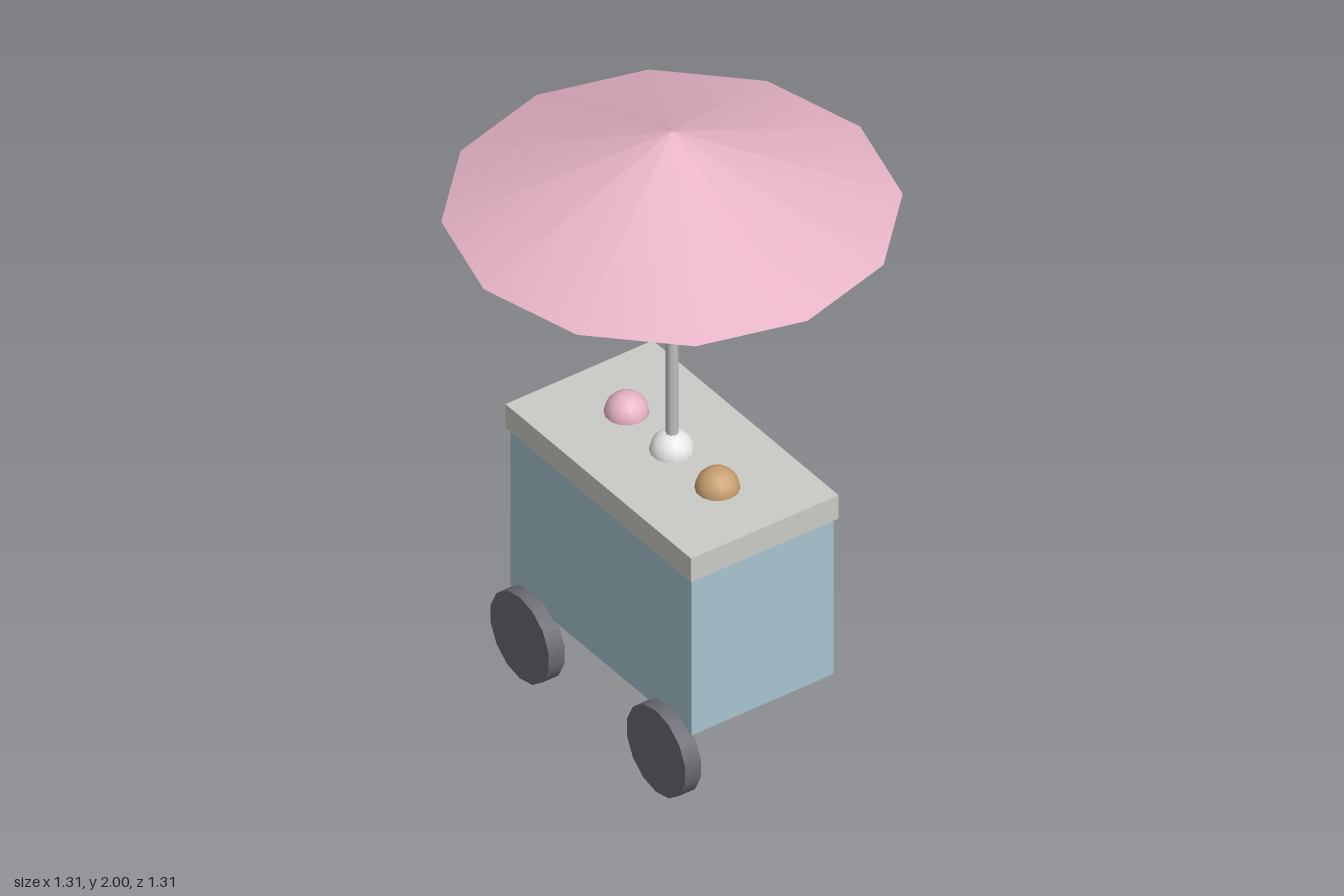
import * as THREE from 'three';

export function createModel() {
  const cart = new THREE.Group();
  cart.name = 'vendingCart';

  const mat = (name, color) => {
    const m = new THREE.MeshStandardMaterial({ color });
    m.name = name;
    return m;
  };
  const pink = mat('pink', 0xe8b4c8);
  const blue = mat('paleBlue', 0xa8c4d0);
  const grey = mat('lightGrey', 0xcacac6);
  const metal = mat('poleGrey', 0xc0c0c0);
  const dark = mat('wheelGrey', 0x6a6a72);
  const cream = mat('offWhite', 0xe8e8e8);
  const tan = mat('caramel', 0xc8a070);

  const add = (name, geometry, material, x, y, z) => {
    const mesh = new THREE.Mesh(geometry, material);
    mesh.name = name;
    mesh.position.set(x, y, z);
    cart.add(mesh);
    return mesh;
  };

  // Cabinet and overhanging counter
  add('cabinet', new THREE.BoxGeometry(0.874, 0.55, 0.494), blue, 0, 0.52, 0);
  add('counter', new THREE.BoxGeometry(0.896, 0.083, 0.512), grey, 0, 0.8365, 0);

  // Wheels on the front
  const wheel = new THREE.CylinderGeometry(0.143, 0.143, 0.055, 14).rotateX(Math.PI / 2);
  add('leftWheel', wheel, dark, 0.329, 0.143, 0.265);
  add('rightWheel', wheel, dark, -0.329, 0.143, 0.265);

  // Parasol pole and closed canopy
  add('pole', new THREE.CylinderGeometry(0.0185, 0.0185, 0.9, 8), metal, 0, 1.31, 0);
  add('canopy', new THREE.ConeGeometry(0.654, 0.27, 12), pink, 0, 1.865, 0);

  // Half-sunk scoops along the counter
  const scoop = new THREE.SphereGeometry(0.065, 14, 10);
  [['pinkScoop', pink], ['creamScoop', cream], ['caramelScoop', tan]].forEach(([name, material], i) => {
    add(name, scoop, material, (i - 1) * 0.219, 0.878, 0);
  });

  return cart;
}
